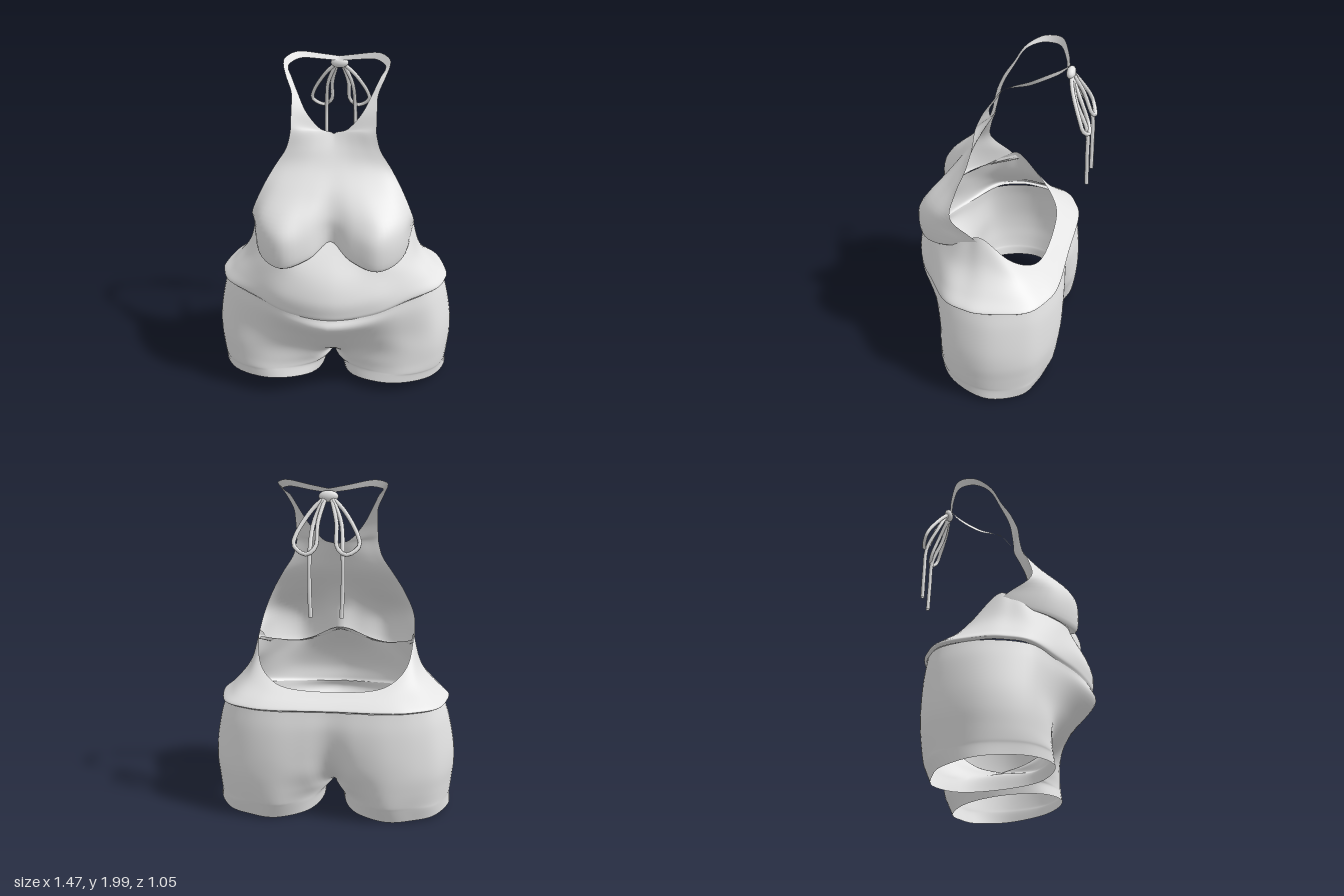
import * as THREE from 'three';
import { mergeVertices, mergeGeometries } from 'three/addons/utils/BufferGeometryUtils.js';

const V = (p) => new THREE.Vector3(p[0], p[1], p[2]);

// Extend a control row past both ends: wrap closed rows, mirror at the centre line, else run on straight.
function extend(row) {
  const p = row.map(V), n = p.length;
  const closed = p[0].distanceTo(p[n - 1]) < 1e-5;
  const beyond = (end, next, wrap) => {
    if (closed) return wrap.clone();
    if (end.x === 0) return new THREE.Vector3(-next.x, next.y, next.z);
    return end.clone().multiplyScalar(2).sub(next);
  };
  return [beyond(p[0], p[1], p[n - 2]), ...p, beyond(p[n - 1], p[n - 2], p[1])];
}

// Smooth cloth through rows of control points, mirrored to the other side and welded.
function cloth(rows, nu, nv, upward) {
  const lines = rows.map((row) => {
    const curve = new THREE.CatmullRomCurve3(extend(row), false, 'catmullrom', 0.5);
    return Array.from({ length: nu + 1 }, (_, i) =>
      curve.getPoint((1 + (i / nu) * (row.length - 1)) / (row.length + 1)));
  });
  const grid = [];
  for (let i = 0; i <= nu; i++) {
    const curve = new THREE.CatmullRomCurve3(lines.map((l) => l[i]), false, 'catmullrom', 0.5);
    for (let j = 0; j <= nv; j++) {
      const p = curve.getPoint(j / nv);
      if (p.x < 0.001) p.x = 0;
      grid.push(p);
    }
  }
  const half = (side) => {
    const geo = new THREE.BufferGeometry();
    geo.setAttribute('position', new THREE.Float32BufferAttribute(
      grid.flatMap((p) => [p.x * side, p.y, p.z]), 3));
    const index = [];
    const flip = (side < 0) !== upward;
    for (let i = 0; i < nu; i++) {
      for (let j = 0; j < nv; j++) {
        const a = i * (nv + 1) + j, b = a + 1, c = a + nv + 1, d = c + 1;
        if (flip) index.push(a, c, b, b, c, d);
        else index.push(a, b, c, b, d, c);
      }
    }
    geo.setIndex(index);
    return geo;
  };
  const geo = mergeVertices(mergeGeometries([half(1), half(-1)]), 1e-4);
  geo.computeVertexNormals();
  return geo;
}

// Each row runs from the front centre round the side to the back centre.
const shortsRows = [
  [[0, .625, .505], [.25, .635, .44], [.44, .66, .315], [.6, .685, .19], [.665, .69, -.05], [.605, .69, -.275], [.485, .69, -.372], [.33, .69, -.412], [.15, .69, -.415], [0, .69, -.405]],
  [[0, .56, .52], [.22, .56, .45], [.43, .57, .32], [.615, .58, .2], [.7, .58, -.05], [.63, .58, -.28], [.505, .57, -.383], [.33, .57, -.432], [.15, .57, -.43], [0, .57, -.41]],
  [[0, .43, .402], [.18, .43, .365], [.43, .42, .292], [.64, .42, .195], [.73, .42, -.05], [.65, .42, -.285], [.515, .42, -.388], [.33, .42, -.44], [.15, .42, -.425], [0, .42, -.375]],
  [[0, .3, .268], [.16, .3, .272], [.44, .3, .283], [.65, .3, .19], [.735, .3, -.05], [.655, .3, -.285], [.515, .3, -.388], [.32, .3, -.436], [.14, .3, -.4], [0, .3, -.3]],
  [[0, .21, .12], [.13, .2, .225], [.42, .2, .285], [.645, .2, .185], [.725, .2, -.05], [.645, .2, -.28], [.5, .2, -.38], [.3, .2, -.423], [.12, .2, -.33], [0, .2, -.17]],
];
const legRows = [
  [[0, .16, -.03], [.09, .15, .18], [.4, .145, .29], [.635, .14, .185], [.717, .13, -.05], [.635, .12, -.275], [.48, .12, -.37], [.29, .12, -.405], [.1, .13, -.25], [0, .16, -.03]],
  [[.042, .135, -.03], [.11, .125, .18], [.385, .125, .292], [.625, .115, .185], [.713, .1, -.05], [.63, .085, -.275], [.475, .085, -.362], [.295, .085, -.392], [.11, .09, -.245], [.042, .135, -.03]],
  [[.06, .045, -.03], [.13, .065, .2], [.37, .078, .298], [.61, .065, .19], [.716, .042, -.05], [.63, .02, -.255], [.49, .01, -.332], [.32, .006, -.36], [.13, .02, -.25], [.06, .045, -.03]],
];

// Waist lip up to the open back edge and the underbust.
const midriffRows = [
  [[0, .622, .505], [.25, .632, .44], [.44, .66, .315], [.605, .685, .185], [.66, .688, .07], [.67, .69, -.05], [.61, .69, -.275], [.485, .69, -.372], [.33, .69, -.412], [0, .69, -.405]],
  [[0, .65, .512], [.26, .662, .447], [.45, .685, .325], [.622, .70, .2], [.68, .705, .07], [.69, .705, -.05], [.63, .705, -.285], [.495, .705, -.385], [.34, .705, -.425], [0, .705, -.425]],
  [[0, .74, .51], [.25, .745, .45], [.42, .755, .335], [.57, .765, .2], [.612, .765, .08], [.62, .765, -.05], [.575, .748, -.265], [.46, .74, -.352], [.315, .738, -.388], [0, .735, -.39]],
  [[0, .87, .45], [.23, .86, .415], [.39, .855, .325], [.49, .87, .2], [.517, .88, .08], [.522, .89, -.03], [.5, .82, -.21], [.4, .785, -.3], [.27, .768, -.34], [0, .762, -.345]],
  [[0, 1.04, .3], [.2, .95, .385], [.33, .935, .34], [.445, .985, .18], [.464, 1.045, .08], [.472, 1.06, 0], [.445, .92, -.14], [.365, .835, -.24], [.24, .795, -.295], [0, .785, -.31]],
];

// Underbust fold up to the neckline; each row runs from the centre to the arm edge.
const chestRows = [
  [[0, 1.03, .295], [.12, .975, .355], [.27, .935, .365], [.4, .965, .25], [.467, 1.03, .03]],
  [[0, 1.03, .305], [.12, .96, .395], [.28, .91, .43], [.42, .94, .29], [.477, 1.02, .01]],
  [[0, 1.11, .31], [.13, 1.08, .39], [.28, 1.06, .442], [.42, 1.06, .32], [.48, 1.07, .07]],
  [[0, 1.19, .302], [.14, 1.18, .355], [.28, 1.17, .385], [.4, 1.17, .31], [.468, 1.165, .19]],
  [[0, 1.3, .25], [.11, 1.3, .26], [.22, 1.3, .255], [.33, 1.3, .225], [.41, 1.3, .172]],
  [[0, 1.42, .155], [.09, 1.42, .155], [.18, 1.42, .152], [.27, 1.42, .142], [.34, 1.42, .128]],
  [[0, 1.52, .095], [.07, 1.52, .1], [.14, 1.52, .108], [.21, 1.52, .112], [.275, 1.52, .11]],
  [[0, 1.6, .05], [.065, 1.605, .06], [.13, 1.61, .078], [.19, 1.61, .094], [.25, 1.61, .1]],
];

// Neck strap sections [inner edge, outer edge], from the neckline round to the nape.
const strapEdges = [
  [[.08, 1.63, .05], [.247, 1.66, .085]],
  [[.16, 1.72, .035], [.247, 1.74, .048]],
  [[.215, 1.82, -.02], [.25, 1.82, -.005]],
  [[.255, 1.9, -.07], [.287, 1.905, -.06]],
  [[.283, 1.935, -.14], [.312, 1.96, -.14]],
  [[.275, 1.95, -.21], [.302, 1.985, -.215]],
  [[.215, 1.962, -.285], [.235, 2, -.295]],
  [[.1, 1.945, -.335], [.1, 1.975, -.35]],
  [[0, 1.932, -.36], [0, 1.957, -.375]],
];
const strapRows = strapEdges.map(([a, b]) =>
  [0, .25, .5, .75, 1].map((t) => V(a).lerp(V(b), t).toArray()));

// Cord bow at the nape
const loopPath = [[.02, 1.91, -.385], [.09, 1.84, -.41], [.17, 1.71, -.47], [.178, 1.66, -.49], [.11, 1.615, -.515], [.06, 1.65, -.5], [.05, 1.78, -.45], [.015, 1.91, -.385]];
const tailPath = [[.02, 1.91, -.39], [.075, 1.78, -.43], [.09, 1.62, -.5], [.092, 1.45, -.51], [.085, 1.27, -.515]];

function cord(path, side, segments) {
  const points = path.map(([x, y, z]) => new THREE.Vector3(x * side, y, z));
  return new THREE.TubeGeometry(new THREE.CatmullRomCurve3(points), segments, 0.012, 7);
}

export function createModel() {
  const fabric = new THREE.MeshStandardMaterial({ color: 0xe4e4e4, side: THREE.DoubleSide });
  fabric.name = 'light grey fabric';
  const model = new THREE.Group();
  model.name = 'halterRomper';
  const add = (name, geometry, parent = model) => {
    const mesh = new THREE.Mesh(geometry, fabric);
    mesh.name = name;
    parent.add(mesh);
    return mesh;
  };

  add('shorts', cloth([...shortsRows, ...legRows], 54, 42, false));
  add('midriff', cloth(midriffRows, 54, 24, true));
  add('chestAndNeckStrap', cloth([...chestRows, ...strapRows], 20, 80, true));

  const bow = new THREE.Group();
  bow.name = 'neckBow';
  model.add(bow);
  for (const [side, label] of [[1, 'left'], [-1, 'right']]) {
    add(label + 'BowLoop', cord(loopPath, side, 28), bow);
    add(label + 'BowTail', cord(tailPath, side, 16), bow);
  }
  const knot = add('bowKnot', new THREE.SphereGeometry(1, 12, 8), bow);
  knot.scale.set(0.055, 0.032, 0.026);
  knot.position.set(0, 1.915, -0.382);
  return model;
}
